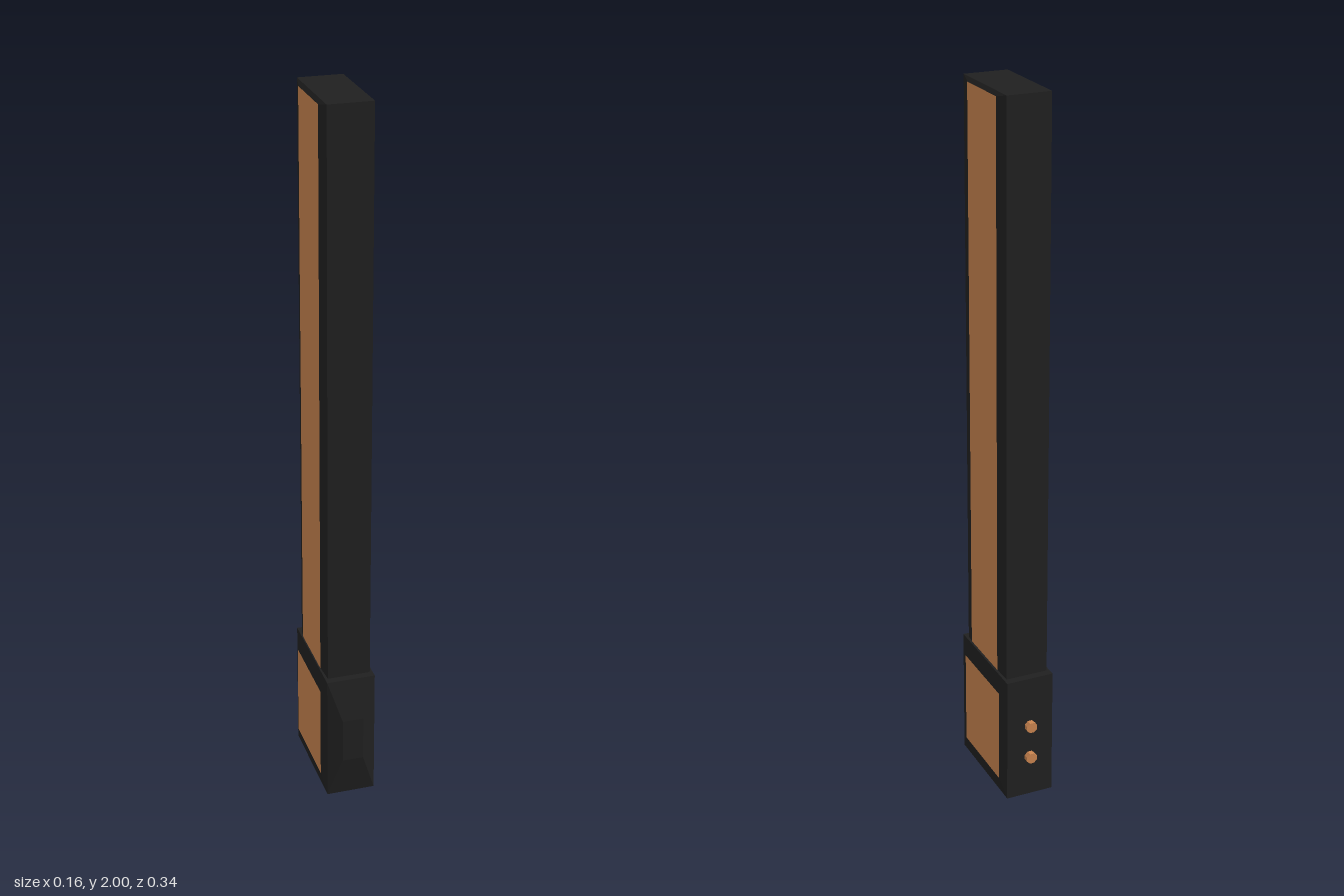
import * as THREE from 'three';

const dark = new THREE.MeshStandardMaterial({ color: 0x202020, flatShading: true });
const copper = new THREE.MeshStandardMaterial({ color: 0xc9844f, flatShading: true });

function add(parent, name, geometry, material, x = 0, y = 0, z = 0) {
  const mesh = new THREE.Mesh(geometry, material);
  mesh.name = name;
  mesh.position.set(x, y, z);
  parent.add(mesh);
  return mesh;
}

// Raised plate facing +z: w x h at its base, shrinking to w2 x h2 at depth d
function bevelPlate(w, h, w2, h2, d) {
  const geometry = new THREE.BoxGeometry(w, h, d).translate(0, 0, d / 2);
  const p = geometry.attributes.position;
  for (let i = 0; i < p.count; i++) {
    if (p.getZ(i) > d / 2) p.setXY(i, p.getX(i) * w2 / w, p.getY(i) * h2 / h);
  }
  geometry.computeVertexNormals();
  return geometry;
}

// Box core with a bevelled plate and copper panel on the left and right
function panelledBlock(name, { halfWidth, depth, bottom, top, z, rise, panelDepth, panelHeight }) {
  const block = new THREE.Group();
  block.name = name;
  const height = top - bottom;
  block.position.set(0, (top + bottom) / 2, z);
  add(block, name + 'Core', new THREE.BoxGeometry(halfWidth * 2, height, depth), dark);
  for (const side of [1, -1]) {
    const cheek = new THREE.Group();
    cheek.name = side > 0 ? 'leftCheek' : 'rightCheek';
    cheek.position.x = side * halfWidth;
    cheek.rotation.y = side * Math.PI / 2;
    add(cheek, 'bevel', bevelPlate(depth, height, panelDepth, panelHeight, rise), dark);
    add(cheek, 'copperPanel', new THREE.PlaneGeometry(panelDepth, panelHeight), copper, 0, 0, rise + 0.001);
    block.add(cheek);
  }
  return block;
}

export function createModel() {
  const model = new THREE.Group();
  model.name = 'bar';

  // Long upper bar
  model.add(panelledBlock('shaft', {
    halfWidth: 0.061, depth: 0.264, bottom: 0.375, top: 2, z: -0.003,
    rise: 0.008, panelDepth: 0.178, panelHeight: 1.605,
  }));

  // Wider base block
  const base = panelledBlock('base', {
    halfWidth: 0.069, depth: 0.307, bottom: 0.001, top: 0.375, z: -0.0035,
    rise: 0.008, panelDepth: 0.234, panelHeight: 0.276,
  });
  model.add(base);

  // Bulging front of the base
  add(base, 'frontBulge', bevelPlate(0.138, 0.374, 0.06, 0.13, 0.021), dark, 0, 0, 0.1535);

  // Copper sole
  const sole = add(model, 'sole', new THREE.PlaneGeometry(0.124, 0.29), copper, 0, 0, -0.0035);
  sole.rotation.x = Math.PI / 2;

  // Two contact studs on the back
  for (const y of [0.125, 0.225]) {
    const stud = new THREE.CylinderGeometry(0.0165, 0.0165, 0.022, 8).rotateY(Math.PI / 8).rotateX(Math.PI / 2);
    add(model, 'contactStud', stud, copper, 0, y, -0.162);
  }
  return model;
}
